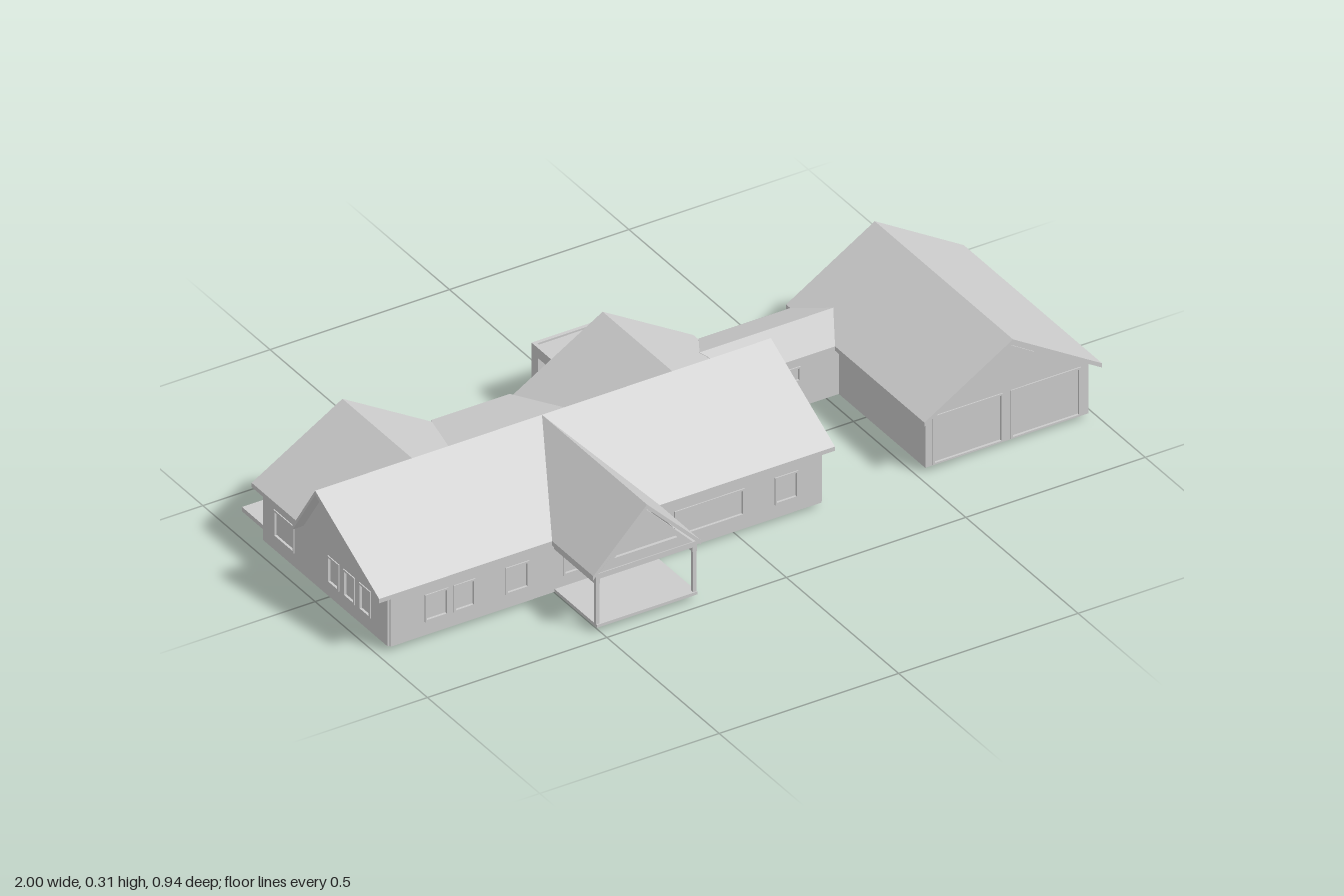
import * as THREE from 'three';

const mat = new THREE.MeshStandardMaterial({ color: 0xcccccc, flatShading: true, side: THREE.DoubleSide });
const R = 0.31, E = 0.16, B = 0.012, T = 0.012; // ridge, eave, floor level, thickness

function add(parent, name, geo) {
  const m = new THREE.Mesh(geo, mat);
  m.name = name;
  parent.add(m);
  return m;
}

// Box given by its two opposite corners
function box(parent, name, x0, x1, y0, y1, z0, z1) {
  const m = add(parent, name, new THREE.BoxGeometry(x1 - x0, y1 - y0, z1 - z0));
  m.position.set((x0 + x1) / 2, (y0 + y1) / 2, (z0 + z1) / 2);
  return m;
}

// Roof slope: convex outline of its upper face, thickened downwards
function slope(parent, name, pts) {
  let area = 0;
  pts.forEach((p, i) => { const q = pts[(i + 1) % pts.length]; area += p[2] * q[0] - q[2] * p[0]; });
  const top = area > 0 ? pts : [...pts].reverse();
  const low = top.map(([x, y, z]) => [x, y - T, z]);
  const v = [], n = top.length;
  for (let i = 0; i < n; i++) {
    const j = (i + 1) % n;
    if (i > 0 && j > 0) v.push(top[0], top[i], top[j], low[0], low[j], low[i]);
    v.push(top[i], low[i], low[j], top[i], low[j], top[j]);
  }
  const g = new THREE.BufferGeometry();
  g.setAttribute('position', new THREE.Float32BufferAttribute(v.flat(), 3));
  g.computeVertexNormals();
  add(parent, name, g);
}

const rect = (u0, u1, y0, y1) => [[u0, y0], [u1, y0], [u1, y1], [u0, y1]];
const toPts = (a) => a.map(([u, y]) => new THREE.Vector2(u, y));

function extrude(outline, holes, depth) {
  const s = new THREE.Shape(toPts(outline));
  holes.forEach((h) => s.holes.push(new THREE.Path(toPts(h))));
  return new THREE.ExtrudeGeometry(s, { depth, bevelEnabled: false }).translate(0, 0, -depth / 2);
}

// Shrink an outline towards its centre by about d on each side
function inset(outline, d) {
  const c = [0, 1].map((k) => outline.reduce((s, p) => s + p[k], 0) / outline.length);
  const f = [0, 1].map((k) => {
    const a = outline.map((p) => p[k]);
    return 1 - 2 * d / (Math.max(...a) - Math.min(...a));
  });
  return outline.map((p) => [0, 1].map((k) => c[k] + (p[k] - c[k]) * f[k]));
}

// Wall with framed, glazed openings; it lies across the given axis at pos
function wall(parent, name, axis, pos, outline, openings = []) {
  const g = new THREE.Group();
  g.name = name;
  add(g, 'wallPanel', extrude(outline, openings, 0.01));
  openings.forEach((o) => {
    add(g, 'openingFrame', extrude(o, [inset(o, 0.005)], 0.016));
    add(g, 'openingPane', extrude(o, [], 0.003));
  });
  if (axis === 'x') { g.rotation.y = -Math.PI / 2; g.position.x = pos; } else g.position.z = pos;
  parent.add(g);
}

const gable = (u0, u1, um, h, top = R - 0.014) => [[u0, B], [u1, B], [u1, h], [um, top], [u0, h]];

function mainHouse(root) {
  const g = new THREE.Group();
  g.name = 'mainHouse';
  root.add(g);
  // Main roof: long front slope, short steep back slope
  slope(g, 'frontRoof', [[-1, R, 0], [0.27, R, 0], [0.27, E, 0.285], [-1, E, 0.285]]);
  slope(g, 'backRoof', [[-1, R, 0], [0.27, R, 0], [0.27, E, -0.1], [-1, E, -0.1]]);
  // Two rear wings with gable roofs
  for (const c of [-0.73, -0.005]) for (const s of [-1, 1]) {
    const e = c + s * 0.253;
    slope(g, 'wingRoof', [[c, R, 0], [c, R, -0.31], [e, E, -0.31], [e, E, -0.1]]);
  }
  // Shallow roof over the recess between the wings
  slope(g, 'recessRoof', [[-0.56, 0.209, -0.065], [-0.175, 0.209, -0.065], [-0.258, E, -0.32], [-0.477, E, -0.32]]);
  // Front wall
  const wy = [0.05, 0.125];
  wall(g, 'frontWall', 'z', 0.275, rect(-0.965, 0.235, B, 0.153), [
    ...[[-0.87, -0.805], [-0.79, -0.73], [-0.645, -0.58], [-0.485, -0.41], [-0.325, -0.26],
      [-0.175, 0.02], [0.105, 0.17]].map(([a, b]) => rect(a, b, ...wy)),
    rect(-0.395, -0.335, 0.015, 0.13),
  ]);
  // End walls
  const end = [[-0.28, B], [0.275, B], [0.275, 0.153], [0, R - 0.014], [-0.095, 0.155], [-0.28, 0.155]];
  wall(g, 'rightEndWall', 'x', -0.965, end,
    [[0.15, 0.2], [0.08, 0.13], [0.01, 0.06], [-0.23, -0.14]].map(([a, b]) => rect(a, b, ...wy)));
  wall(g, 'leftEndWall', 'x', 0.235, end, [rect(0.06, 0.12, ...wy), rect(0.14, 0.2, ...wy)]);
  // Glazed gable of the right wing
  const bays = [];
  for (const u of [-0.2, -0.1, 0.01, 0.11]) {
    const a = -0.73 + u, b = a + 0.09;
    const h = (x) => 0.278 - Math.abs(x + 0.73) * 0.6;
    bays.push(rect(a, b, 0.03, 0.125));
    bays.push([[a, 0.14], [b, 0.14], [b, h(b)], [a, h(a)]]);
  }
  wall(g, 'glazedGable', 'z', -0.28, gable(-0.965, -0.495, -0.73, 0.157), bays);
  // Entrance gable of the left wing
  wall(g, 'entranceGable', 'z', -0.28, gable(-0.24, 0.235, -0.005, 0.157), [
    rect(-0.2, -0.13, 0.03, 0.125), rect(-0.075, -0.01, 0.016, 0.13),
    rect(0, 0.065, 0.016, 0.13), rect(0.12, 0.19, 0.05, 0.125)]);
  // Recess walls, floor and terrace
  wall(g, 'recessSideWall', 'x', -0.495, rect(-0.28, -0.1, B, 0.155));
  wall(g, 'recessSideWall', 'x', -0.24, rect(-0.28, -0.1, B, 0.155));
  wall(g, 'recessBackWall', 'z', -0.1, rect(-0.495, -0.24, B, 0.185),
    [rect(-0.47, -0.39, 0.02, 0.13), rect(-0.345, -0.265, 0.02, 0.13)]);
  box(g, 'recessFloor', -0.495, -0.24, B, 0.018, -0.28, -0.1);
  box(g, 'terrace', -0.935, -0.52, 0, B, -0.43, -0.28);
}

function frontPorch(root) {
  const g = new THREE.Group();
  g.name = 'frontPorch';
  root.add(g);
  const c = -0.368;
  box(g, 'porchFloor', c - 0.14, c + 0.14, B, 0.02, 0.28, 0.468);
  for (const s of [-1, 1]) {
    const e = c + s * 0.15, p = c + s * 0.135;
    slope(g, 'porchRoof', [[c, R, 0], [c, R, 0.468], [e, E, 0.468], [e, E, 0.285]]);
    box(g, 'porchPost', p - 0.005, p + 0.005, 0.02, 0.135, 0.455, 0.465);
    box(g, 'porchSideBeam', p - 0.006, p + 0.006, 0.132, 0.155, 0.28, 0.465);
  }
  box(g, 'porchFrontBeam', c - 0.14, c + 0.14, 0.145, 0.16, 0.452, 0.465);
  // Gable infill with a tie beam and trim
  const tri = [[c - 0.135, 0.155], [c + 0.135, 0.155], [c, R - 0.016]];
  add(g, 'porchGable', extrude(tri, [], 0.006)).position.z = 0.452;
  add(g, 'porchGableTrim', extrude(tri, [[[c - 0.088, 0.187], [c + 0.088, 0.187], [c, R - 0.035]]], 0.008))
    .position.z = 0.459;
}

function rearPorch(root) {
  const g = new THREE.Group();
  g.name = 'rearPorch';
  root.add(g);
  const [x0, x1] = [-0.105, 0.09];
  box(g, 'flatRoof', x0, x1, 0.145, 0.168, -0.467, -0.275);
  // Parapet rim
  box(g, 'parapet', x0, x1, 0.168, 0.173, -0.467, -0.457);
  box(g, 'parapet', x0, x0 + 0.01, 0.168, 0.173, -0.457, -0.3);
  box(g, 'parapet', x1 - 0.01, x1, 0.168, 0.173, -0.457, -0.3);
  for (const x of [x0, x1 - 0.045]) box(g, 'pier', x, x + 0.045, B, 0.145, -0.467, -0.439);
}

function garage(root) {
  const g = new THREE.Group();
  g.name = 'garage';
  root.add(g);
  const c = 0.752, vent = [[c - 0.075, 0.237], [c + 0.075, 0.237], [c, 0.283]];
  for (const e of [0.505, 1]) slope(g, 'garageRoof', [[c, R, -0.308], [c, R, 0.308], [e, E, 0.308], [e, E, -0.308]]);
  const outline = gable(0.525, 0.98, c, 0.159);
  wall(g, 'garageFrontWall', 'z', 0.275, outline,
    [rect(0.545, 0.74, 0.014, 0.15), rect(0.762, 0.957, 0.014, 0.15), vent]);
  wall(g, 'garageBackWall', 'z', -0.275, outline, [vent]);
  const side = rect(-0.28, 0.28, B, 0.159);
  wall(g, 'garageLeftWall', 'x', 0.975, side,
    [-0.168, 0, 0.168].map((z) => rect(z - 0.039, z + 0.039, 0.085, 0.125)));
  wall(g, 'garageRightWall', 'x', 0.53, side);
}

function connector(root) {
  const g = new THREE.Group();
  g.name = 'connector';
  root.add(g);
  for (const s of [-1, 1]) {
    const z = -0.19 + s * 0.1;
    slope(g, 'connectorRoof', [[0.19, 0.195, -0.19], [0.565, 0.195, -0.19], [0.51, E, z], [0.25, E, z]]);
    wall(g, 'connectorWall', 'z', -0.19 + s * 0.08, rect(0.235, 0.53, B, 0.155), [rect(0.34, 0.418, 0.085, 0.127)]);
  }
}

export function createModel() {
  const root = new THREE.Group();
  root.name = 'house';
  [mainHouse, frontPorch, rearPorch, garage, connector].forEach((build) => build(root));
  return root;
}
